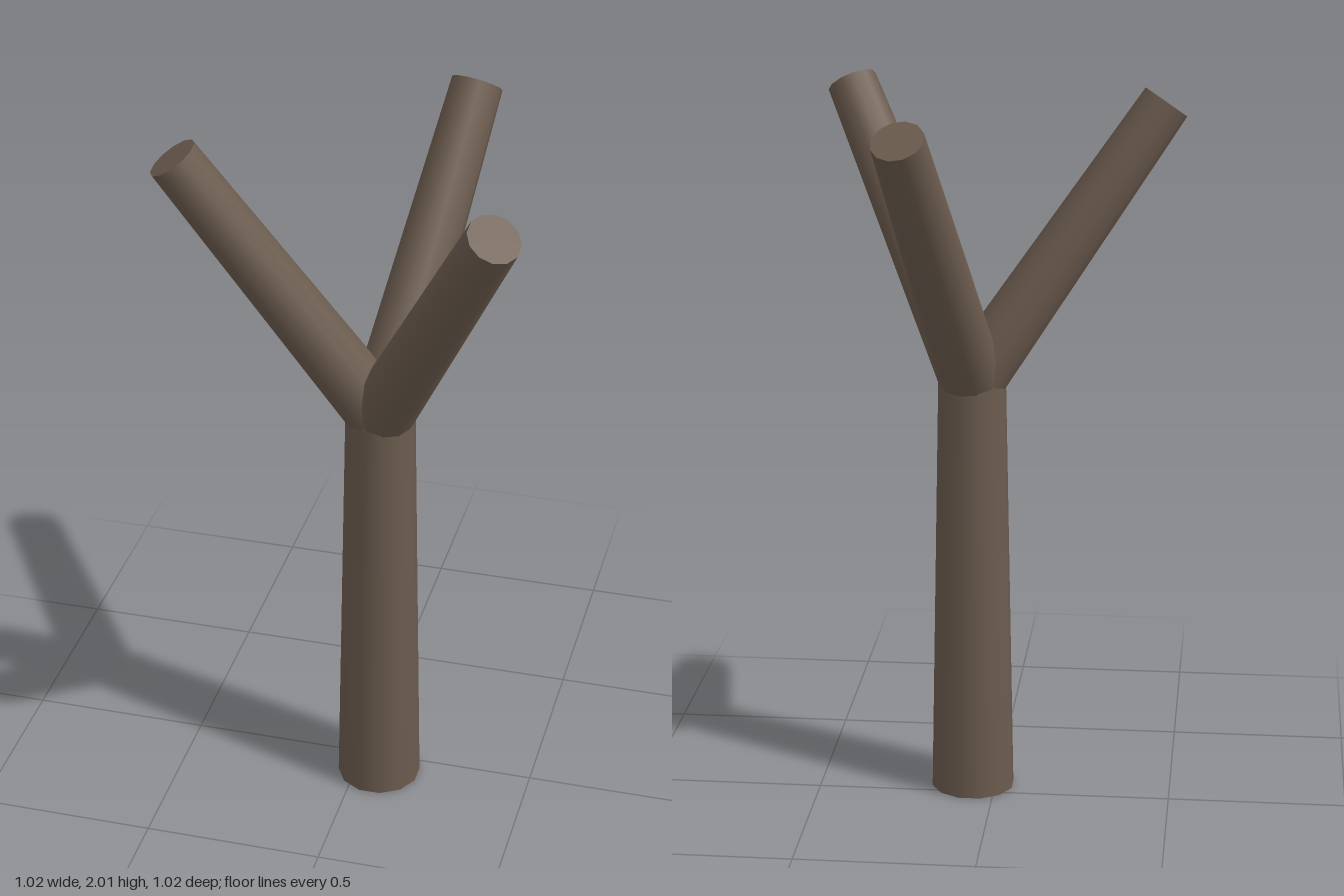
import * as THREE from 'three';

const SIDES = 12;
const FORK = new THREE.Vector3(0.065, 1.2, 0.065);

export function createModel() {
  const tree = new THREE.Group();
  tree.name = 'bareTree';
  const bark = new THREE.MeshStandardMaterial({ color: 0x6b5b4e });
  const up = new THREE.Vector3(0, 1, 0);

  // Tapered, capped limb running from one point to another
  function addLimb(name, from, to, baseRadius, tipRadius) {
    const axis = to.clone().sub(from);
    const geometry = new THREE.CylinderGeometry(tipRadius, baseRadius, axis.length(), SIDES);
    geometry.rotateY(Math.PI / SIDES);
    const limb = new THREE.Mesh(geometry, bark);
    limb.name = name;
    limb.position.copy(from).add(to).multiplyScalar(0.5);
    limb.quaternion.setFromUnitVectors(up, axis.normalize());
    tree.add(limb);
  }

  // Trunk
  addLimb('trunk', new THREE.Vector3(FORK.x, 0, FORK.z), FORK, 0.118, 0.095);

  // Three branches spreading from the fork
  const tips = {
    rightBranch: [-0.453, 1.962, 0.2],
    backBranch: [0.2, 1.962, -0.453],
    leftFrontBranch: [0.443, 1.965, 0.443],
  };
  for (const [name, tip] of Object.entries(tips)) {
    addLimb(name, FORK, new THREE.Vector3(...tip), 0.09, 0.071);
  }

  return tree;
}
